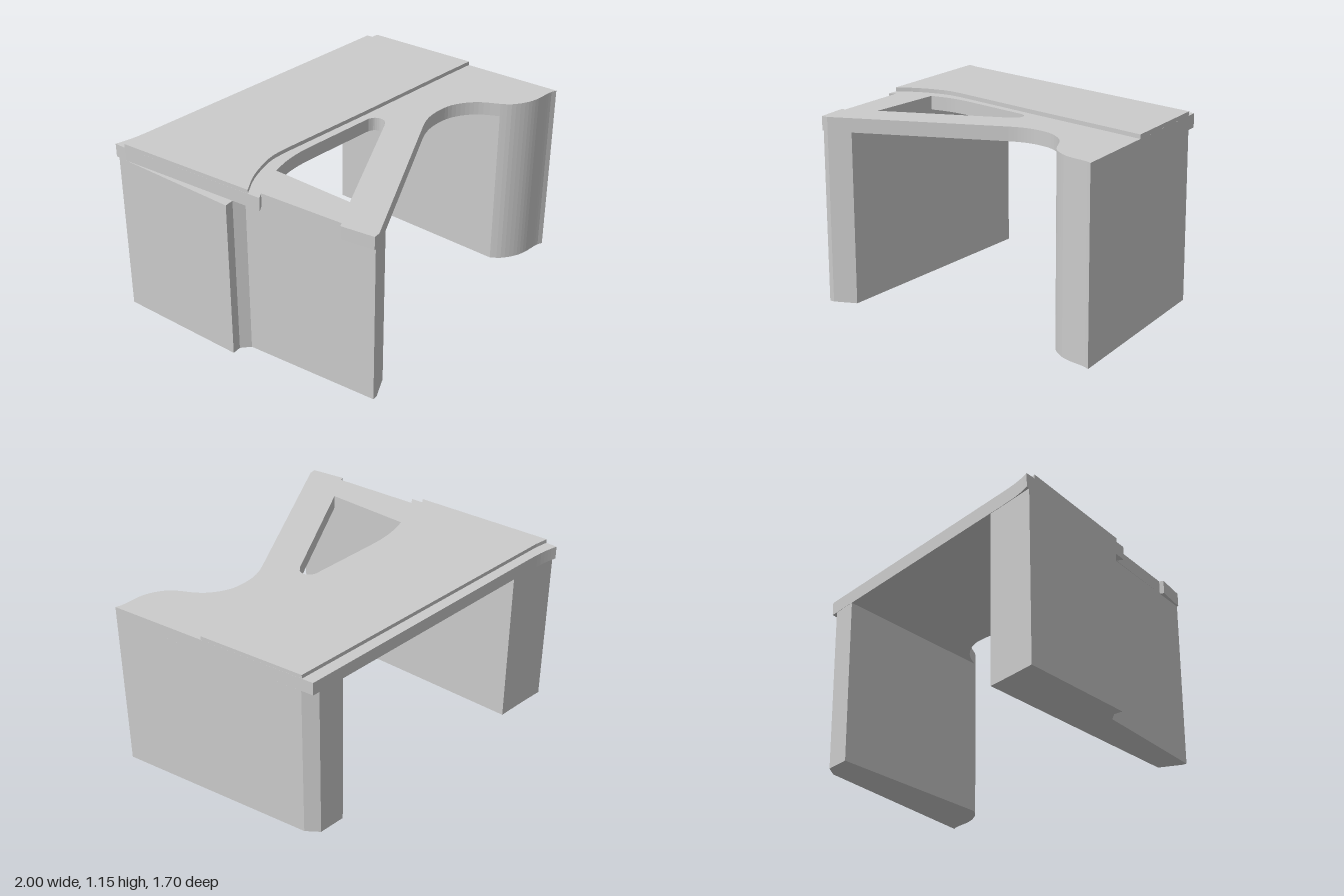
import * as THREE from 'three';

const material = new THREE.MeshStandardMaterial({ color: 0xcccccc });
const LEG_TOP = 1.045, DECK_TOP = 1.13, PANEL_TOP = 1.155;

// Plan points are [x, z]; shapes are drawn in (x, -z) and stood upright.
const toPlan = (points) => points.map(([x, z]) => new THREE.Vector2(x, -z));
const smooth = (points, n = 24) =>
  new THREE.SplineCurve(points.map(([x, z]) => new THREE.Vector2(x, z)))
    .getPoints(n).map((p) => [p.x, p.y]);

function slab(name, outline, bottom, top, hole) {
  const shape = new THREE.Shape(toPlan(outline));
  if (hole) shape.holes.push(new THREE.Path(toPlan(hole)));
  const geometry = new THREE.ExtrudeGeometry(shape, { depth: top - bottom, bevelEnabled: false });
  geometry.rotateX(-Math.PI / 2);
  geometry.translate(0, bottom, 0);
  const mesh = new THREE.Mesh(geometry, material);
  mesh.name = name;
  return mesh;
}

export function createModel() {
  const model = new THREE.Group();
  model.name = 'table';

  // Shared curves: scooped front edge and flared back corner
  const foot = smooth([[0.97, 0.83], [0.93, 0.82], [0.85, 0.805], [0.78, 0.775], [0.71, 0.72], [0.67, 0.66]], 16);
  const scoop = smooth([[0.67, 0.66], [0.62, 0.56], [0.56, 0.49], [0.48, 0.435], [0.4, 0.412],
    [0.32, 0.405], [0.25, 0.415], [0.19, 0.435]]).slice(1);
  const backCurve = smooth([[-1, -0.85], [-0.95, -0.83], [-0.88, -0.808], [-0.8, -0.79]], 8);

  // Deck with notched side and rounded triangular opening
  const opening = [
    [-0.67, 0.55],
    ...smooth([[0.07, 0.25], [0.105, 0.225], [0.115, 0.19], [0.1, 0.155], [0.07, 0.135]], 14),
    ...smooth([[-0.36, 0.05], [-0.45, 0.036], [-0.55, 0.032], [-0.67, 0.045]], 10),
  ];
  model.add(slab('deck', [
    ...backCurve, [0.88, -0.46], [1, 0.845],
    ...foot, ...scoop,
    [-0.805, 0.84], [-0.845, 0.84], [-0.875, 0.64], [-0.85, 0.63],
    [-0.89, 0.12], [-0.93, 0.14], [-1, -0.78],
  ], LEG_TOP, DECK_TOP, opening));

  // Raised panel across the rear of the deck
  model.add(slab('raisedPanel', [
    [-1, -0.78], [-0.92, -0.755], [0.886, -0.39], [0.946, 0.26], [0.75, 0.22], [0.1, 0.095],
    ...smooth([[-0.45, -0.017], [-0.52, -0.03], [-0.63, -0.037], [-0.8, 0], [-0.935, 0.065]], 12),
  ], DECK_TOP, PANEL_TOP));

  // Left leg, with a clipped rear corner and curved front
  model.add(slab('leftLeg', [
    [0.67, -0.5], [0.835, -0.467], [0.887, -0.385], [1, 0.845], ...foot,
  ], 0, LEG_TOP));

  // Right leg, stepped inward on its outer side
  model.add(slab('rightLeg', [
    [-1, -0.83], [-0.9, -0.808], [-0.8, -0.787], [-0.67, -0.762], [-0.67, 0.785],
    [-0.805, 0.84], [-0.835, 0.84], [-0.895, 0.01], [-0.945, -0.04], [-1, -0.04],
  ], 0, LEG_TOP));

  return model;
}
